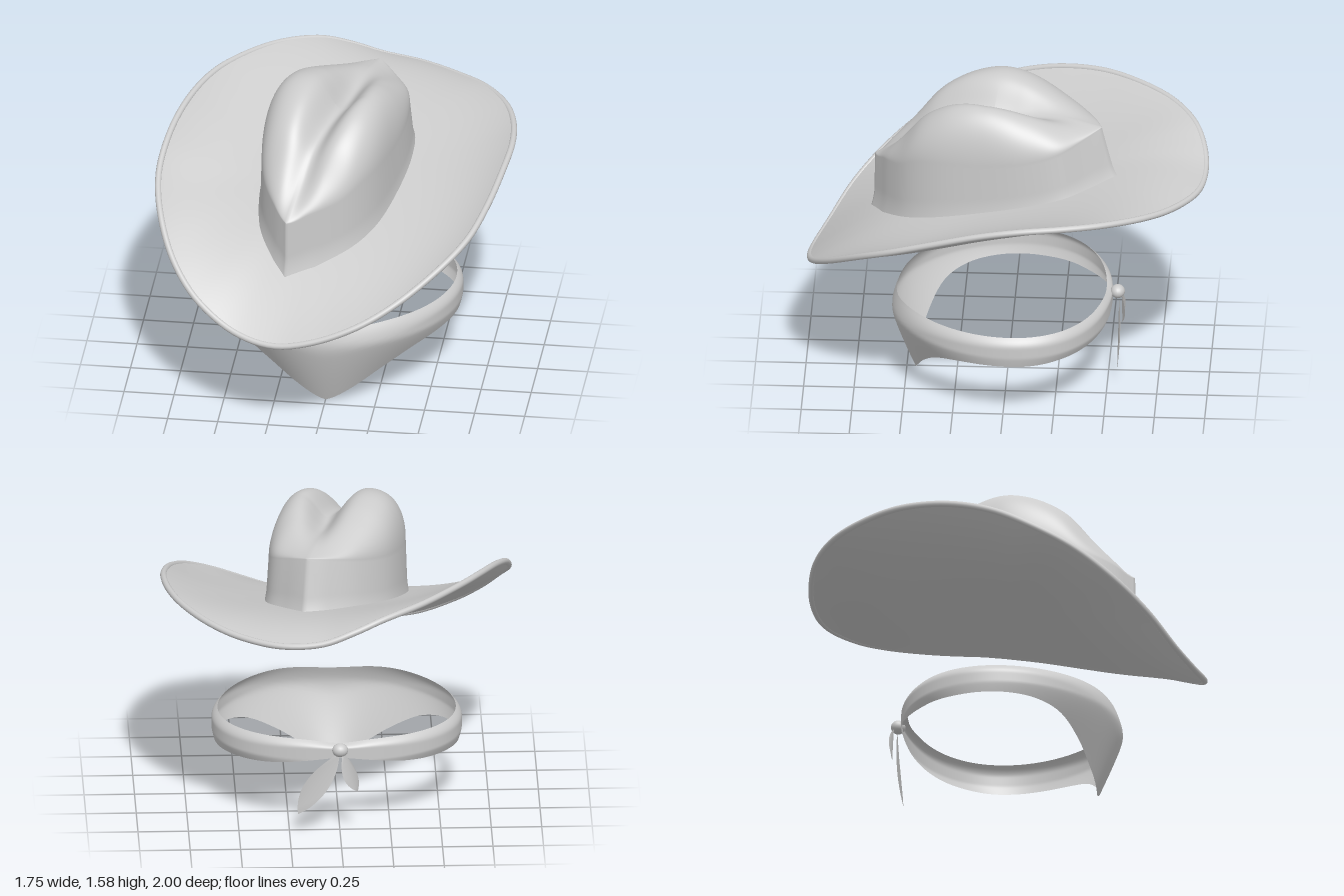
import * as THREE from 'three';

const mat = new THREE.MeshStandardMaterial({ color: 0xcccccc, side: THREE.DoubleSide, roughness: 0.8 });

function part(name, geometry) {
  const m = new THREE.Mesh(geometry, mat);
  m.name = name;
  return m;
}

// Smooth surface from rings: fn(u, v) gives [x, y, z]; u wraps round, v runs across
function loft(fn, nu, nv) {
  const pos = [], idx = [];
  for (let j = 0; j <= nv; j++)
    for (let i = 0; i < nu; i++) pos.push(...fn(i / nu, j / nv));
  for (let j = 0; j < nv; j++)
    for (let i = 0; i < nu; i++) {
      const a = j * nu + i, b = j * nu + (i + 1) % nu;
      idx.push(a, a + nu, b, b, a + nu, b + nu);
    }
  const g = new THREE.BufferGeometry();
  g.setAttribute('position', new THREE.Float32BufferAttribute(pos, 3));
  g.setIndex(idx);
  g.computeVertexNormals();
  return g;
}

// Smooth function through evenly spaced samples between x0 and x1
function sampled(x0, x1, ys) {
  const c = new THREE.SplineCurve(ys.map((y, i) => new THREE.Vector2(i, y)));
  return x => c.getPoint(THREE.MathUtils.clamp((x - x0) / (x1 - x0), 0, 1)).y;
}

// Brim edge as x, y, z, going round from the back over the left side
const edge = new THREE.CatmullRomCurve3([
  [0.1, 1.195, -0.985], [0.3, 1.175, -0.955], [0.5, 1.18, -0.84], [0.65, 1.2, -0.7], [0.78, 1.22, -0.49],
  [0.84, 1.225, -0.3], [0.86, 1.215, -0.1], [0.84, 1.175, 0.1], [0.79, 1.095, 0.35], [0.72, 1.015, 0.55],
  [0.6, 0.925, 0.71], [0.4, 0.795, 0.87], [0.22, 0.7, 0.95], [0, 0.615, 0.98], [-0.2, 0.575, 0.965],
  [-0.4, 0.605, 0.9], [-0.6, 0.715, 0.79], [-0.73, 0.84, 0.65], [-0.82, 0.985, 0.46], [-0.86, 1.105, 0.25],
  [-0.84, 1.21, 0.05], [-0.785, 1.285, -0.17], [-0.7, 1.325, -0.39], [-0.6, 1.335, -0.56],
  [-0.4, 1.325, -0.79], [-0.2, 1.295, -0.92], [-0.05, 1.245, -0.97],
].map(p => new THREE.Vector3(...p)), true);

// Sloping plane on which the crown sits
const seat = z => 1.05 - 0.243 * z;

function brimPoint(u, r, drop) {
  const e = edge.getPoint(u);
  const y = THREE.MathUtils.lerp(seat(e.z * r), e.y, r ** 3.5);
  return [e.x * r, y - drop * (1 - 0.4 * r ** 10), e.z * r];
}

// Crown footprint: two curved sides meeting at a front and a back corner
const side = pts => new THREE.CatmullRomCurve3(pts.map(p => new THREE.Vector3(p[0], 0, p[1])));
const leftSide = side([[-0.17, 0.67], [-0.09, 0.635], [0, 0.595], [0.14, 0.5], [0.24, 0.36], [0.32, 0.1],
  [0.355, -0.13], [0.345, -0.29], [0.27, -0.42], [0.18, -0.55]]);
const rightSide = side([[0.18, -0.55], [0.06, -0.51], [-0.1, -0.42], [-0.26, -0.24], [-0.345, 0],
  [-0.355, 0.21], [-0.32, 0.42], [-0.24, 0.58], [-0.17, 0.67]]);
const ridge = sampled(-0.66, 0.66,
  [1.43, 1.455, 1.475, 1.5, 1.53, 1.56, 1.575, 1.56, 1.52, 1.45, 1.33, 1.22, 1.1]);

// Roof height: rounded shoulders, with a crease that fades out towards the back
function roofY(x, z, r) {
  const s = -0.274 * x + 0.962 * (z - 0.065);
  const t = 0.962 * x + 0.274 * (z - 0.065);
  const k = Math.min(1, Math.abs(s) / (s > 0 ? 0.64 : 0.56));
  const shoulder = 0.02 + 0.27 * (1 - k ** (s > 0 ? 1.8 : 1.3));
  const fade = s > 0 ? 1 - k * k : (1 - k * k) ** 3;
  const offset = 0.035 * (1 - k);
  const crease = 0.14 * fade * Math.exp(-(((t - offset) / (0.09 - 0.03 * k)) ** 2));
  const round = 1 - Math.sqrt(Math.max(0, 1 - r ** 4.5));
  return ridge(s) - shoulder * round - crease - 0.07 * t;
}

function crownPoint(u, v) {
  const p = u < 0.5 ? leftSide.getPoint(u * 2) : rightSide.getPoint(u * 2 - 1);
  const d = p.z - 0.065;
  const taper = 0.97 + 0.04 * d - 0.18 * Math.min(0, d) ** 2;
  const wall = Math.min(1, v / 0.35);
  const r = Math.cos(Math.max(0, v - 0.35) / 0.65 * Math.PI / 2);
  const flare = 0.025 * Math.max(0, 1 - wall * 3) ** 2;
  const f = (1 + (taper - 1) * wall + flare) * r;
  const x = p.x * f, z = 0.065 + d * f;
  const base = seat(z) - 0.015 - (z > 0 ? 0.065 : 0.03) * (z / 0.68) ** 4;
  return [x, THREE.MathUtils.lerp(base, roofY(x, z, r), wall), z];
}

// Neckerchief: a band round the neck that widens into a point at the front
const lowerEdge = sampled(0, Math.PI,
  [0, 0.075, 0.18, 0.265, 0.305, 0.318, 0.32, 0.32, 0.325, 0.33, 0.345, 0.37, 0.39]);

function scarfPoint(u, v) {
  const a = u * Math.PI * 2;
  const b = Math.min(a, Math.PI * 2 - a);
  const top = 0.472 - 0.03 * Math.exp(-((b / 0.35) ** 2)) - 0.015 * Math.exp(-(((Math.PI - b) / 0.2) ** 2));
  const y = THREE.MathUtils.lerp(top, lowerEdge(b), v);
  const tuck = 0.125 * (Math.max(0, 0.37 - y) / 0.36) ** 1.2;
  const lip = 0.03 * (1 - Math.min(1, v * 3)) ** 2;
  const sin2 = Math.sin(a) ** 2;
  return [
    (0.62 - tuck - lip) * Math.sin(a), y,
    0.03 + (0.55 - tuck * (1 + 3 * sin2) - lip) * Math.cos(a) - 0.07 * sin2,
  ];
}

// Leaf-shaped cloth end hanging from the knot, swung sideways by angle
function tail(length, width, angle, bow) {
  const s = new THREE.Shape();
  s.bezierCurveTo(width * 0.25, -length * 0.2, width * 1.1, -length * 0.6, 0, -length);
  s.bezierCurveTo(-width * 0.6, -length * 0.75, -width * 0.7, -length * 0.3, 0, 0);
  const g = new THREE.ShapeGeometry(s, 16);
  const p = g.attributes.position;
  for (let i = 0; i < p.count; i++) p.setZ(i, bow * Math.sin(-p.getY(i) / length * Math.PI));
  g.rotateZ(angle);
  g.computeVertexNormals();
  return g;
}

export function createModel() {
  const model = new THREE.Group();
  model.name = 'hatAndNeckerchief';

  // Hat
  const hat = new THREE.Group();
  hat.name = 'hat';
  hat.add(part('brimTop', loft((u, v) => brimPoint(u, 0.3 + 0.7 * v, 0), 120, 28)));
  hat.add(part('brimUnderside', loft((u, v) => brimPoint(u, 1 - v, 0.04), 120, 28)));
  const rim = new THREE.TubeGeometry(edge, 160, 0.016, 12, true);
  rim.translate(0, -0.012, 0);
  hat.add(part('brimRolledEdge', rim));
  hat.add(part('crown', loft(crownPoint, 128, 80)));
  model.add(hat);

  // Neckerchief with its knot and two loose ends
  const scarf = new THREE.Group();
  scarf.name = 'neckerchief';
  scarf.add(part('scarfBand', loft(scarfPoint, 128, 20)));
  const knot = part('knot', new THREE.SphereGeometry(0.036, 20, 14));
  knot.scale.set(1.1, 0.95, 1);
  knot.position.set(0, 0.44, -0.545);
  const longTail = part('longTail', tail(0.385, 0.11, 0.56, -0.01));
  longTail.position.set(0.005, 0.43, -0.55);
  const shortTail = part('shortTail', tail(0.22, 0.07, -0.35, -0.02));
  shortTail.position.set(-0.01, 0.43, -0.56);
  scarf.add(knot, longTail, shortTail);
  model.add(scarf);

  return model;
}
